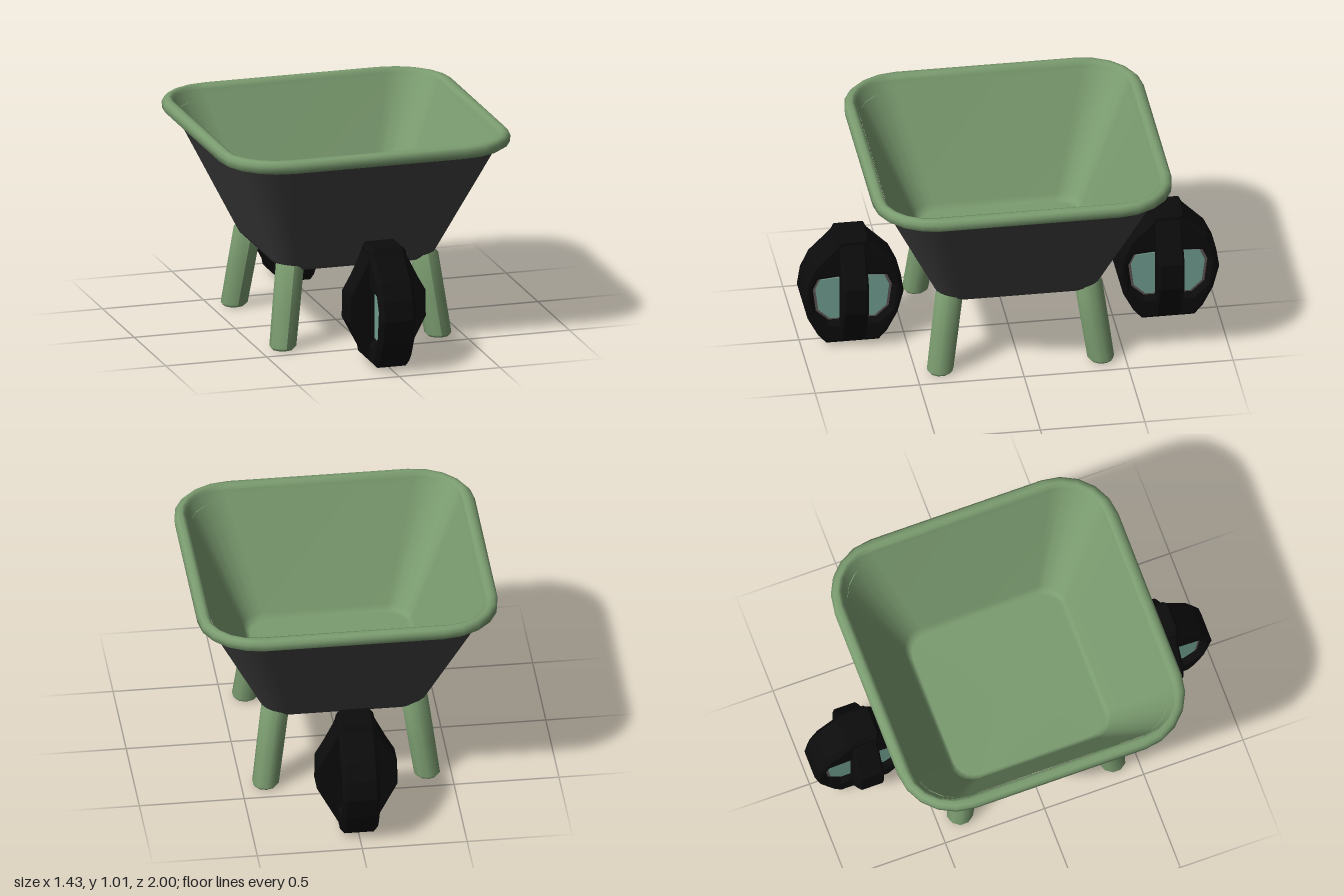
import * as THREE from 'three';

const mat = (name, color, side = THREE.FrontSide) => {
  const m = new THREE.MeshStandardMaterial({ color, side });
  m.name = name;
  return m;
};

// Skin through rounded-square rings, each [half width, corner radius, y]
function loft(rings, cornerSteps = 5) {
  const pos = [], idx = [];
  const n = 4 * (cornerSteps + 1);
  for (const [half, r, y] of rings) {
    for (let q = 0; q < 4; q++) {
      const mid = (q + 0.5) * Math.PI / 2;
      const cx = Math.sign(Math.cos(mid)) * (half - r);
      const cz = Math.sign(Math.sin(mid)) * (half - r);
      for (let k = 0; k <= cornerSteps; k++) {
        const a = (q + k / cornerSteps) * Math.PI / 2;
        pos.push(cx + r * Math.cos(a), y, cz + r * Math.sin(a));
      }
    }
  }
  for (let i = 0; i < rings.length - 1; i++) {
    for (let j = 0; j < n; j++) {
      const a = i * n + j, b = i * n + (j + 1) % n;
      idx.push(a, a + n, b, b, a + n, b + n);
    }
  }
  const g = new THREE.BufferGeometry();
  g.setAttribute('position', new THREE.Float32BufferAttribute(pos, 3));
  g.setIndex(idx);
  g.computeVertexNormals();
  return g;
}

// Shape points symmetric about the vertical axis, from the right half listed top to bottom
function mirrored(half, scale = 1, cy = 0) {
  const right = half.map(([x, y]) => new THREE.Vector2(x * scale, cy + (y - cy) * scale));
  const left = right.map((p) => new THREE.Vector2(-p.x, p.y)).reverse();
  return [...right, ...left];
}

// Centred extrusion; total thickness includes the bevels
function slab(shape, thickness, bevel = 0) {
  const depth = thickness - 2 * bevel;
  const g = new THREE.ExtrudeGeometry(shape, {
    depth, bevelEnabled: bevel > 0, bevelThickness: bevel,
    bevelSize: bevel, bevelOffset: -bevel, bevelSegments: 1,
  });
  return g.translate(0, 0, -depth / 2);
}

export function createModel() {
  const green = mat('green', 0x7b9c70, THREE.DoubleSide);
  const grey = mat('charcoal', 0x424242);
  const black = mat('black rubber', 0x0c0c0c);
  const teal = mat('teal', 0x72a092);
  const edge = mat('dull brown', 0x5c5453);
  const model = new THREE.Group();
  model.name = 'planterCart';

  const add = (parent, name, geometry, material) => {
    const m = new THREE.Mesh(geometry, material);
    m.name = name;
    parent.add(m);
    return m;
  };

  // Tub: outer skin, inner skin and rolled rim
  add(model, 'tubOuter', loft([
    [0, 0, 0.37], [0.35, 0.1, 0.37], [0.375, 0.11, 0.375], [0.392, 0.12, 0.39],
    [0.405, 0.125, 0.415], [0.65, 0.24, 0.925], [0.665, 0.25, 0.96],
  ]), grey);
  add(model, 'tubInner', loft([
    [0.655, 0.2, 0.995], [0.645, 0.2, 0.97], [0.405, 0.11, 0.45],
    [0.39, 0.1, 0.425], [0.375, 0.1, 0.42], [0, 0, 0.42],
  ]), green);
  add(model, 'rim', loft([
    [0.645, 0.24, 0.947], [0.695, 0.27, 0.95], [0.714, 0.285, 0.964], [0.716, 0.285, 0.994],
    [0.703, 0.275, 1.01], [0.68, 0.24, 1.015], [0.662, 0.21, 1.008], [0.653, 0.2, 0.985],
  ]), green);

  // Four legs, splayed outward toward the ground
  for (const sx of [-1, 1]) {
    for (const sz of [-1, 1]) {
      const profile = [[0, 0], [0.052, 0], [0.064, 0.014], [0.066, 0.2], [0.067, 0.4], [0, 0.405]];
      const g = new THREE.LatheGeometry(profile.map((p) => new THREE.Vector2(...p)), 10);
      const p = g.attributes.position;
      for (let i = 0; i < p.count; i++) {
        const lean = 0.386 - 0.135 * p.getY(i);
        p.setX(i, p.getX(i) + sx * lean);
        p.setZ(i, p.getZ(i) + sz * lean);
      }
      g.computeVertexNormals();
      add(model, `${sz > 0 ? 'front' : 'back'}${sx > 0 ? 'Left' : 'Right'}Leg`, g, green);
    }
  }

  // Wheels at the front and back
  const tyreHalf = [[0.07, 0.585], [0.085, 0.555], [0.19, 0.45], [0.23, 0.365],
    [0.245, 0.27], [0.215, 0.155], [0.165, 0.06], [0.125, 0.015]];
  const holeHalf = [[0.05, 0.375], [0.165, 0.365], [0.19, 0.31], [0.175, 0.19], [0.115, 0.135]];
  const hubHalf = [[0.07, 0.58], [0.085, 0.56], [0.15, 0.43], [0.19, 0.36],
    [0.192, 0.23], [0.09, 0.035], [0.03, 0.012]];
  for (const s of [1, -1]) {
    const wheel = new THREE.Group();
    wheel.name = s > 0 ? 'frontWheel' : 'backWheel';
    const tyre = new THREE.Shape(mirrored(tyreHalf));
    tyre.holes.push(new THREE.Path(mirrored(holeHalf).reverse()));
    const parts = [
      ['tyre', slab(tyre, 0.18, 0.02), black],
      ['wheelInset', slab(new THREE.Shape(mirrored(holeHalf, 1.04, 0.265)), 0.12), edge],
      ['wheelPanel', slab(new THREE.Shape(mirrored(holeHalf, 0.93, 0.265)), 0.13), teal],
    ];
    for (const [name, g, m] of parts) add(wheel, name, g.rotateY(Math.PI / 2), m);
    // Upright hub bar, thickest at the axle
    add(wheel, 'hubBar', slab(new THREE.Shape(mirrored(hubHalf)), 0.125, 0.01), black);
    wheel.position.z = s * 0.755;
    wheel.rotation.y = s > 0 ? 0 : Math.PI;
    model.add(wheel);
  }
  return model;
}
